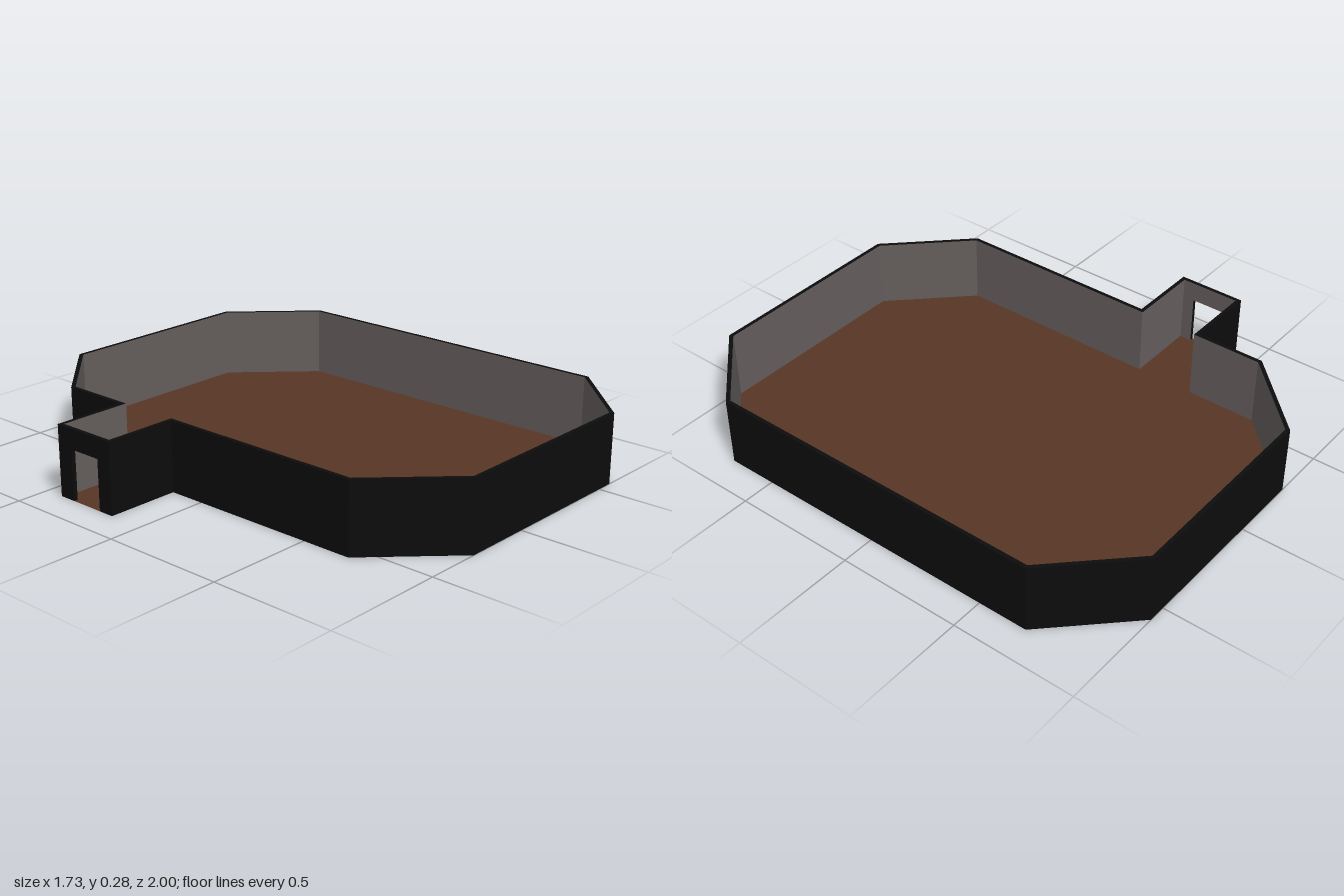
import * as THREE from 'three';

const HEIGHT = 0.28, DOOR = 0.2, THICK = 0.016;

// Outer plan as [x, z], clockwise from above; the door lies between points 9 and 10.
const PLAN = [
  [-0.275, -1], [0.57, -1], [0.867, -0.7], [0.867, 0.7], [0.57, 1], [-0.275, 1],
  [-0.57, 0.7], [-0.57, -0.145], [-0.867, -0.145], [-0.867, -0.21], [-0.867, -0.35],
  [-0.867, -0.42], [-0.57, -0.42], [-0.57, -0.7],
];
const DOOR_EDGE = 9;

// Mitred inset of a closed outline
function inset(points, t) {
  const count = points.length;
  const normals = points.map((p, i) => {
    const q = points[(i + 1) % count];
    return new THREE.Vector2(q[1] - p[1], p[0] - q[0]).normalize();
  });
  return points.map((p, i) => {
    const n1 = normals[(i + count - 1) % count], n2 = normals[i];
    const k = t / (1 + n1.dot(n2));
    return [p[0] - (n1.x + n2.x) * k, p[1] - (n1.y + n2.y) * k];
  });
}

// Flat four-sided faces gathered into one mesh
function quadMesh(name, quads, material) {
  const positions = quads.flatMap(([a, b, c, d]) => [a, b, c, a, c, d].flat());
  const geometry = new THREE.BufferGeometry();
  geometry.setAttribute('position', new THREE.Float32BufferAttribute(positions, 3));
  geometry.computeVertexNormals();
  const mesh = new THREE.Mesh(geometry, material);
  mesh.name = name;
  return mesh;
}

export function createModel() {
  const black = new THREE.MeshStandardMaterial({ color: 0x0c0c0c });
  black.name = 'black outer wall';
  const grey = new THREE.MeshStandardMaterial({ color: 0x645d5c });
  grey.name = 'grey inner wall';
  const brown = new THREE.MeshStandardMaterial({ color: 0x573625, side: THREE.DoubleSide });
  brown.name = 'brown floor';

  const group = new THREE.Group();
  group.name = 'room';

  const inner = inset(PLAN, THICK);
  const at = (p, y) => [p[0], y, p[1]];
  const outside = [], inside = [], rim = [], doorFrame = [];

  PLAN.forEach((a, i) => {
    const j = (i + 1) % PLAN.length;
    const b = PLAN[j], c = inner[i], d = inner[j];
    const base = i === DOOR_EDGE ? DOOR : 0;
    outside.push([at(b, base), at(a, base), at(a, HEIGHT), at(b, HEIGHT)]);
    inside.push([at(c, base), at(d, base), at(d, HEIGHT), at(c, HEIGHT)]);
    rim.push([at(c, HEIGHT), at(d, HEIGHT), at(b, HEIGHT), at(a, HEIGHT)]);
    if (i === DOOR_EDGE) {
      // Two jambs and the underside of the lintel
      doorFrame.push(
        [at(c, 0), at(a, 0), at(a, DOOR), at(c, DOOR)],
        [at(b, 0), at(d, 0), at(d, DOOR), at(b, DOOR)],
        [at(a, DOOR), at(b, DOOR), at(d, DOOR), at(c, DOOR)],
      );
    }
  });

  group.add(
    quadMesh('outerWalls', outside, black),
    quadMesh('innerWalls', inside, grey),
    quadMesh('wallRim', rim, black),
    quadMesh('doorFrame', doorFrame, black),
  );

  // Floor sheet, seen from above and below
  const shape = new THREE.Shape(PLAN.map(([x, z]) => new THREE.Vector2(x, -z)));
  const floor = new THREE.Mesh(new THREE.ShapeGeometry(shape).rotateX(-Math.PI / 2), brown);
  floor.name = 'floor';
  group.add(floor);

  return group;
}
